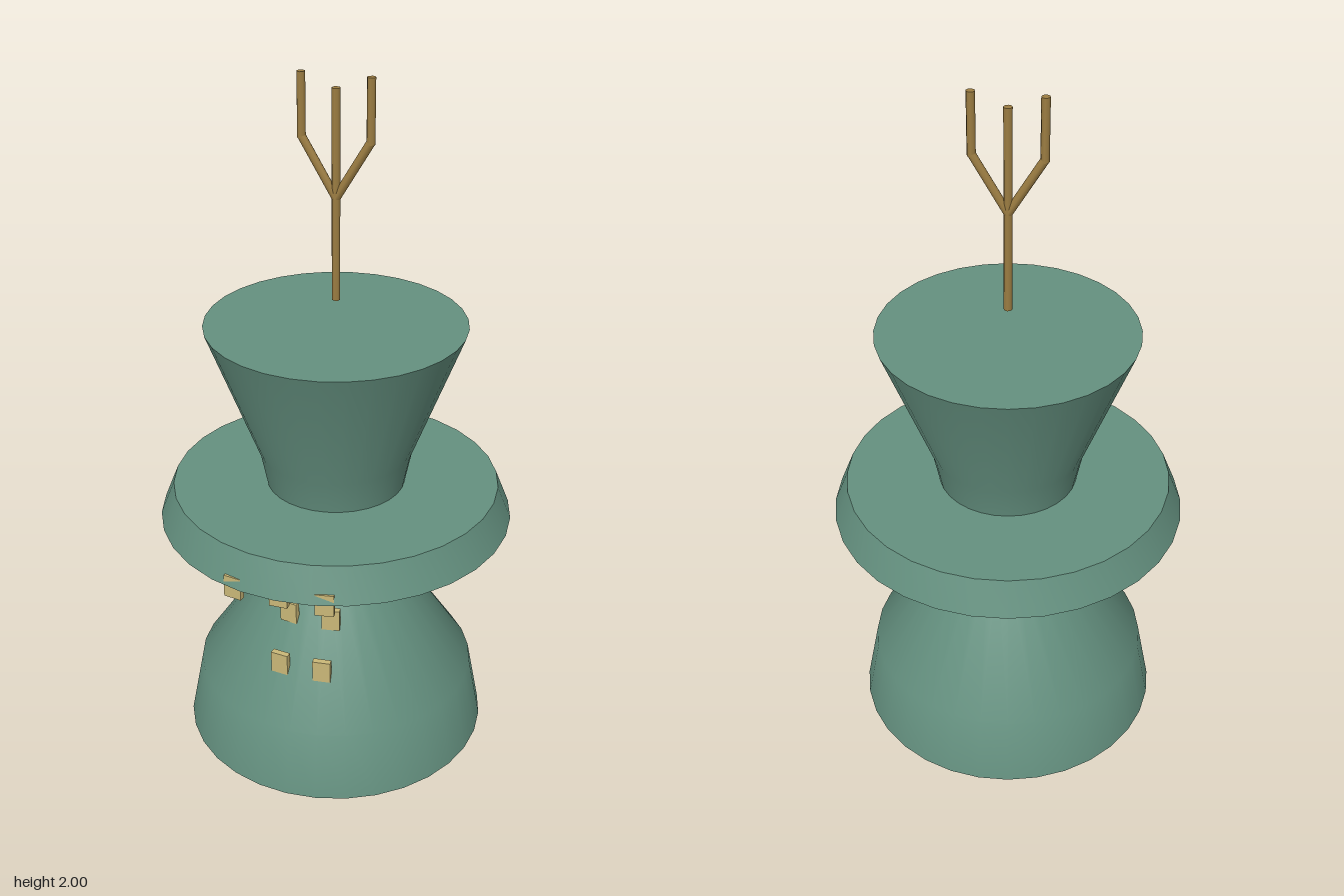
import * as THREE from 'three';
import { toCreasedNormals } from 'three/addons/utils/BufferGeometryUtils.js';

const material = (name, color) => {
  const m = new THREE.MeshStandardMaterial({ color });
  m.name = name;
  return m;
};

export function createModel() {
  const green = material('green hull', 0x64907f);
  const bronze = material('bronze', 0x9c7d42);
  const gold = material('pale gold', 0xcab878);
  const model = new THREE.Group();
  model.name = 'station';

  const add = (parent, name, geometry, mat, x = 0, y = 0, z = 0) => {
    const mesh = new THREE.Mesh(geometry, mat);
    mesh.name = name;
    mesh.position.set(x, y, z);
    parent.add(mesh);
    return mesh;
  };

  // Turned hull parts, smooth with sharp rims
  const turned = (name, profile) => {
    const points = profile.map(([r, y]) => new THREE.Vector2(r, y));
    const geometry = new THREE.LatheGeometry(points, 32);
    add(model, name, toCreasedNormals(geometry, Math.PI / 6), green);
  };
  turned('base', [[0, 0], [0.45, 0], [0.412, 0.2], [0.158, 0.58], [0.172, 0.66], [0, 0.66]]);
  turned('saucer', [[0, 0.66], [0.225, 0.66], [0.51, 0.72], [0.47, 0.82], [0, 0.82]]);
  turned('tower', [[0, 0.82], [0.2, 0.82], [0.22, 0.92], [0.368, 1.31], [0, 1.31]]);

  // Forked antenna floating above the tower
  const antenna = new THREE.Group();
  antenna.name = 'antenna';
  model.add(antenna);
  const rod = (name, x0, y0, x1, y1) => {
    const dx = x1 - x0, dy = y1 - y0;
    const geometry = new THREE.CylinderGeometry(0.012, 0.012, Math.hypot(dx, dy), 8);
    const mesh = add(antenna, name, geometry, bronze, (x0 + x1) / 2, (y0 + y1) / 2);
    mesh.rotation.z = -Math.atan2(dx, dy);
  };
  rod('mast', 0, 1.38, 0, 1.965);
  for (const side of [-1, 1]) {
    rod('branch', 0, 1.67, side * 0.095, 1.83);
    rod('prong', side * 0.095, 1.825, side * 0.095, 2);
  }

  // Windows on the front of the base and under the saucer rim
  const windows = new THREE.Group();
  windows.name = 'windows';
  model.add(windows);
  const pane = new THREE.BoxGeometry(0.052, 0.066, 0.018);
  const addWindow = (x, y, z) => {
    add(windows, 'window', pane, gold, x, y, z).rotation.y = Math.atan2(x, z) * 0.6;
  };
  for (const [y, z] of [[0.36, 0.312], [0.485, 0.23], [0.608, 0.167]]) {
    for (const x of [-0.063, 0.063]) addWindow(x, y, z);
  }
  for (const x of [-0.13, 0, 0.13]) addWindow(x, 0.715, 0.475);

  return model;
}
